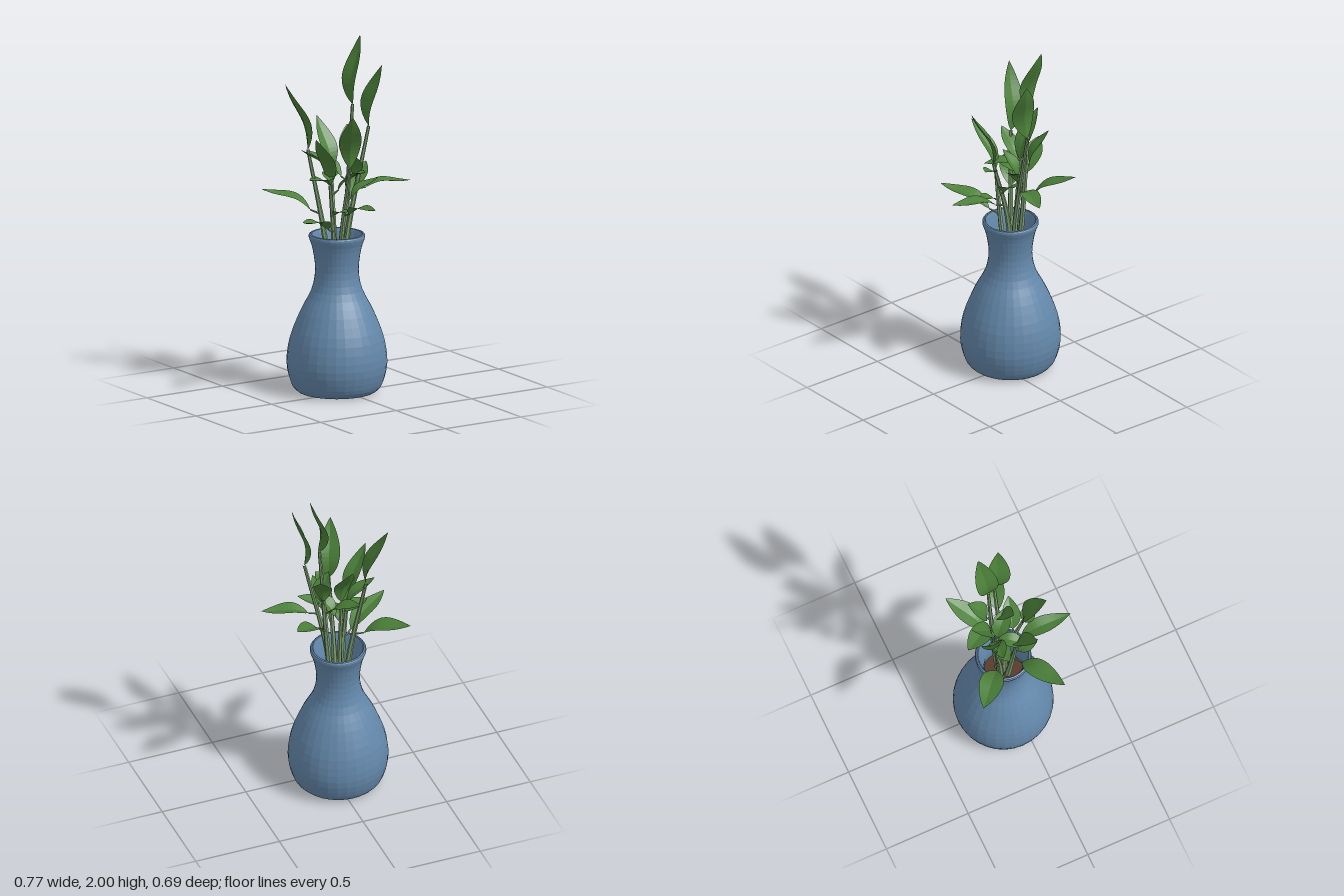
import * as THREE from 'three';

const UP = new THREE.Vector3(0, 1, 0);
const mat = (name, color, side = THREE.FrontSide) => {
  const m = new THREE.MeshStandardMaterial({ color, side, flatShading: true });
  m.name = name;
  return m;
};

// Pointed leaf arching from base to tip with a flicked-up end, folded on its midrib;
// its upper side looks to the sky, or is turned about the leaf's length
function leafGeometry(base, tip, width, turn = 0) {
  const along = tip.clone().sub(base);
  const axis = along.clone().normalize();
  const side = new THREE.Vector3().crossVectors(along, UP).normalize().applyAxisAngle(axis, turn);
  const above = new THREE.Vector3().crossVectors(side, axis);
  const rows = 14, cols = 4;
  const g = new THREE.PlaneGeometry(1, 1, cols, rows);
  const p = g.attributes.position;
  for (let i = 0; i < p.count; i++) {
    const t = p.getY(i) + 0.5, s = p.getX(i) * 2;
    const half = 0.5 * width * Math.sin(Math.PI * t ** 0.85) ** 0.9 + 0.003 * (1 - t);
    const arch = along.length() * (0.06 * Math.sin(Math.PI * t) + 0.03 * Math.sin(2 * Math.PI * t));
    const q = base.clone().addScaledVector(along, t)
      .addScaledVector(side, s * half)
      .addScaledVector(above, arch + Math.abs(s) * half * 0.28);
    p.setXYZ(i, q.x, q.y, q.z);
  }
  g.computeVertexNormals();
  return g;
}

// Round tube that narrows from r0 to r1
function taperedTube(curve, r0, r1, segs, sides) {
  const g = new THREE.TubeGeometry(curve, segs, 1, sides);
  const p = g.attributes.position, v = new THREE.Vector3();
  for (let i = 0; i < p.count; i++) {
    const t = Math.floor(i / (sides + 1)) / segs, c = curve.getPointAt(t);
    v.fromBufferAttribute(p, i).sub(c).multiplyScalar(r0 + (r1 - r0) * t).add(c);
    p.setXYZ(i, v.x, v.y, v.z);
  }
  g.computeVertexNormals();
  return g;
}

export function createModel() {
  const root = new THREE.Group();
  const vaseMat = mat('vase blue', 0x6488ab);
  const leafMat = mat('leaf green', 0x4b8039, THREE.DoubleSide);
  const stemMat = mat('stem green', 0x7da071);
  const soilMat = mat('soil brown', 0x55301c);
  const add = (parent, name, geo, material) => {
    const m = new THREE.Mesh(geo, material);
    m.name = name;
    parent.add(m);
    return m;
  };

  // Vase: outer wall, rolled rim and inner wall in one smooth profile
  const vase = new THREE.Group();
  vase.name = 'vase';
  vase.position.set(-0.025, 0, -0.066);
  root.add(vase);
  const profile = new THREE.SplineCurve([
    [0.2, 0.005], [0.226, 0.016], [0.257, 0.06], [0.28, 0.17], [0.262, 0.31], [0.205, 0.46],
    [0.142, 0.585], [0.121, 0.7], [0.136, 0.82], [0.157, 0.885], [0.148, 0.904],
    [0.134, 0.885], [0.106, 0.74], [0.115, 0.6],
  ].map(([x, y]) => new THREE.Vector2(x, y)));
  add(vase, 'vaseBody', new THREE.LatheGeometry(profile.getPoints(39), 32), vaseMat);
  const bottom = add(vase, 'vaseBase', new THREE.CircleGeometry(0.2, 32), vaseMat);
  bottom.rotation.x = Math.PI / 2;
  bottom.position.y = 0.005;
  const soil = add(vase, 'soil', new THREE.CylinderGeometry(0.113, 0.113, 0.02, 32), soilMat);
  soil.position.y = 0.61;

  // Each plant: x and z at the vase mouth, top of the stem, tip, width and turn of the end leaf,
  // then side leaves as height share on the stem, tip and width
  const plants = [
    { mouth: [0.045, -0.09], top: [0.1, 1.62, -0.1], end: [0.17, 2, -0.13, 0.125, -0.35],
      sides: [[0.25, 0.3, 1.235, -0.27, 0.115], [0.42, -0.065, 1.335, -0.3, 0.115],
        [0.5, 0.135, 1.48, -0.21, 0.1]] },
    { mouth: [0.035, -0.05], top: [0.165, 1.5, -0.035], end: [0.22, 1.85, 0.015, 0.14, 0.6],
      sides: [[0.44, 0.385, 1.18, 0.055, 0.1], [0.5, 0, 1.38, 0.01, 0.1]] },
    { mouth: [-0.08, -0.11], top: [-0.15, 1.38, -0.17], end: [-0.255, 1.75, -0.24, 0.115, 0.45],
      sides: [[0.25, -0.35, 1.145, -0.337, 0.13]] },
    { mouth: [-0.01, -0.04], top: [-0.02, 1.3, 0.06], end: [-0.075, 1.62, 0.175, 0.12, 0],
      sides: [[0.3, -0.035, 1.12, 0.342, 0.1], [0.5, 0.17, 1.225, 0.055, 0.1],
        [0.85, 0.025, 1.29, 0.15, 0.085]] },
    { mouth: [-0.07, -0.03], top: [-0.1, 1.2, -0.02], end: [-0.235, 1.49, 0.045, 0.1, 0],
      sides: [[0.1, -0.385, 1.055, 0.145, 0.11], [0.4, -0.08, 1.07, 0.12, 0.08]] },
    { mouth: [-0.02, -0.1], top: [-0.02, 1.26, -0.13], end: [-0.03, 1.54, -0.265, 0.105, 0],
      sides: [[0.9, -0.21, 1.39, -0.15, 0.09], [0.75, -0.185, 1.22, -0.1, 0.1],
        [0.6, 0.1, 1.27, 0.025, 0.1], [0.95, -0.14, 1.24, 0.03, 0.085]] },
  ];
  for (const { mouth: [mx, mz], top, end, sides } of plants) {
    const plant = new THREE.Group();
    plant.name = 'plant';
    root.add(plant);
    const tipOfStem = new THREE.Vector3(...top);
    const stem = new THREE.CatmullRomCurve3([
      new THREE.Vector3(mx * 0.5 - 0.01, 0.6, mz * 0.5 - 0.035),
      new THREE.Vector3(mx, 0.9, mz),
      tipOfStem,
    ]);
    add(plant, 'stem', taperedTube(stem, 0.019, 0.009, 8, 6), stemMat);
    const [ex, ey, ez, endWidth, turn] = end;
    add(plant, 'endLeaf', leafGeometry(tipOfStem, new THREE.Vector3(ex, ey, ez), endWidth, turn), leafMat);
    for (const [share, x, y, z, width] of sides) {
      // The first part of the way to the tip is a bare stalk
      const from = stem.getPoint(0.5 + 0.5 * share), tip = new THREE.Vector3(x, y, z);
      const base = from.clone().lerp(tip, 0.18);
      const stalk = new THREE.LineCurve3(from, base);
      add(plant, 'stalk', taperedTube(stalk, 0.007, 0.004, 2, 6), stemMat);
      add(plant, 'sideLeaf', leafGeometry(base, tip, width), leafMat);
    }
  }
  return root;
}
